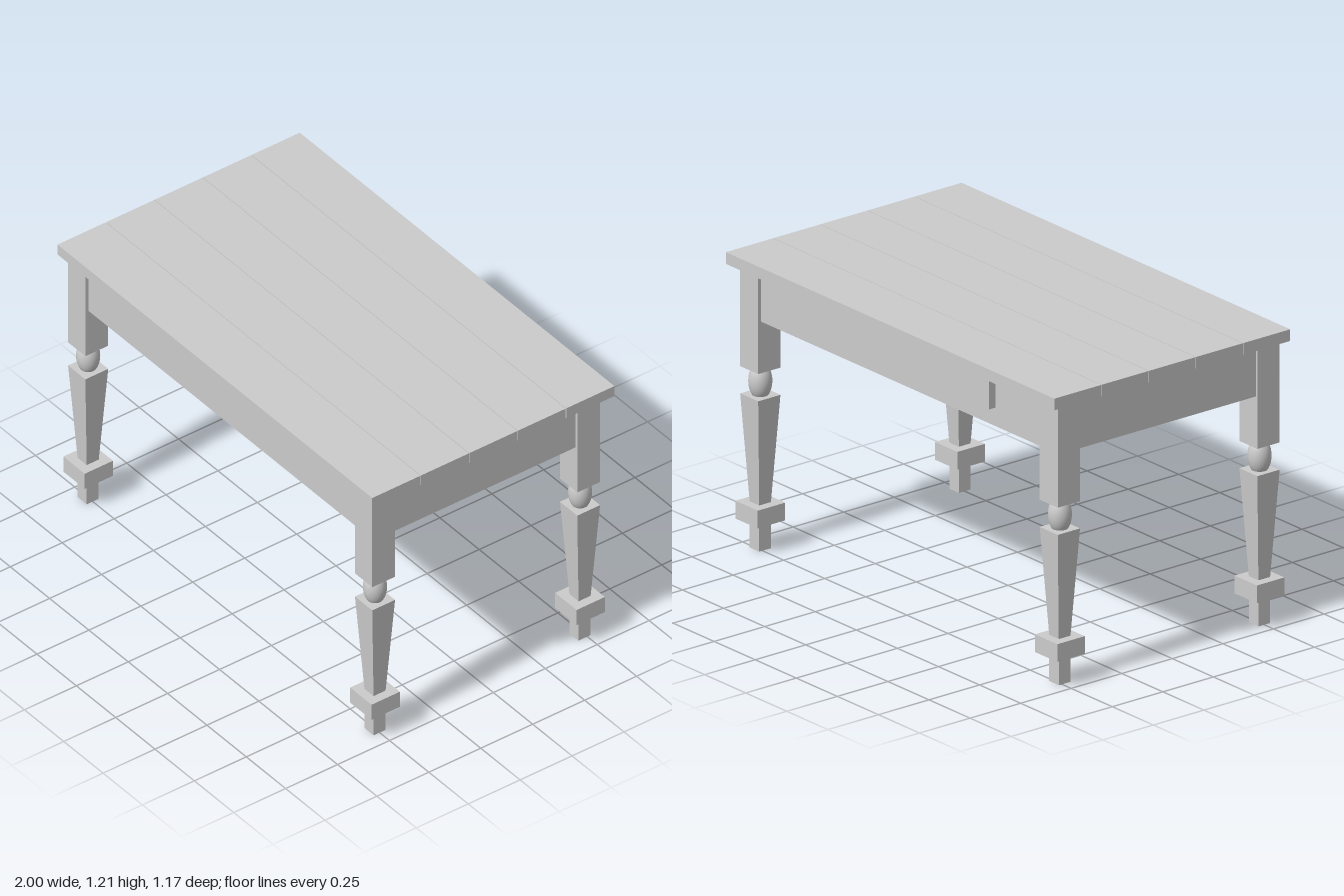
import * as THREE from 'three';

const grey = new THREE.MeshStandardMaterial({ color: 0xcccccc });
const flat = new THREE.MeshStandardMaterial({ color: 0xcccccc, flatShading: true });

// Box given by its min and max corners
function box(name, [x0, y0, z0], [x1, y1, z1]) {
  const mesh = new THREE.Mesh(new THREE.BoxGeometry(x1 - x0, y1 - y0, z1 - z0), grey);
  mesh.position.set((x0 + x1) / 2, (y0 + y1) / 2, (z0 + z1) / 2);
  mesh.name = name;
  return mesh;
}

// Square section centred on the leg axis, from y0 to y1
const block = (name, half, y0, y1) => box(name, [-half, y0, -half], [half, y1, half]);

function createLeg() {
  const leg = new THREE.Group();
  leg.add(block('legFoot', 0.029, 0, 0.117));
  leg.add(block('legCollar', 0.068, 0.117, 0.19));

  // Four-sided taper, widening upwards
  const taperShape = new THREE.CylinderGeometry(0.055 * Math.SQRT2, 0.029 * Math.SQRT2, 0.443, 4);
  taperShape.rotateY(Math.PI / 4);
  const taper = new THREE.Mesh(taperShape, flat);
  taper.position.y = 0.4115;
  taper.name = 'legTaper';
  leg.add(taper);

  // Turned bead with cut-off ends
  const profile = [];
  for (let i = 0; i <= 16; i++) {
    const t = -1 + i / 8;
    profile.push(new THREE.Vector2(0.0465 * Math.sqrt(1 - 0.55 * t * t), 0.689 + 0.057 * t));
  }
  const bead = new THREE.Mesh(new THREE.LatheGeometry(profile, 32), grey);
  bead.name = 'legBead';
  leg.add(bead);

  leg.add(block('legPost', 0.055, 0.745, 1.165));
  return leg;
}

export function createModel() {
  const table = new THREE.Group();
  table.name = 'table';

  // Top made of five planks with hairline gaps
  const pitch = 1.166 / 5, gap = 0.003;
  for (let i = 0; i < 5; i++) {
    const z = -0.583 + i * pitch;
    table.add(box('topPlank', [-1, 1.165, z + (i > 0 ? gap / 2 : 0)],
      [1, 1.213, z + pitch - (i < 4 ? gap / 2 : 0)]));
  }

  // Legs
  const legX = [-0.915, 0.908], legZ = [-0.487, 0.5];
  for (const x of legX) for (const z of legZ) {
    const leg = createLeg();
    leg.position.set(x, 0, z);
    leg.name = (z > 0 ? 'front' : 'back') + (x > 0 ? 'Left' : 'Right') + 'Leg';
    table.add(leg);
  }

  // Apron rails, flush with the legs on the inside
  const low = 0.958, high = 1.165;
  table.add(box('frontApron', [-0.86, low, 0.445], [0.853, high, 0.54]));
  table.add(box('backApron', [-0.86, low, -0.528], [0.853, high, -0.432]));
  table.add(box('rightApron', [-0.96, low, -0.432], [-0.86, high, 0.445]));
  table.add(box('leftApron', [0.853, low, -0.432], [0.953, high, 0.445]));

  // Drawer front on the back apron
  table.add(box('drawerFront', [-0.575, 1.035, -0.562], [0.575, 1.165, -0.526]));
  return table;
}
